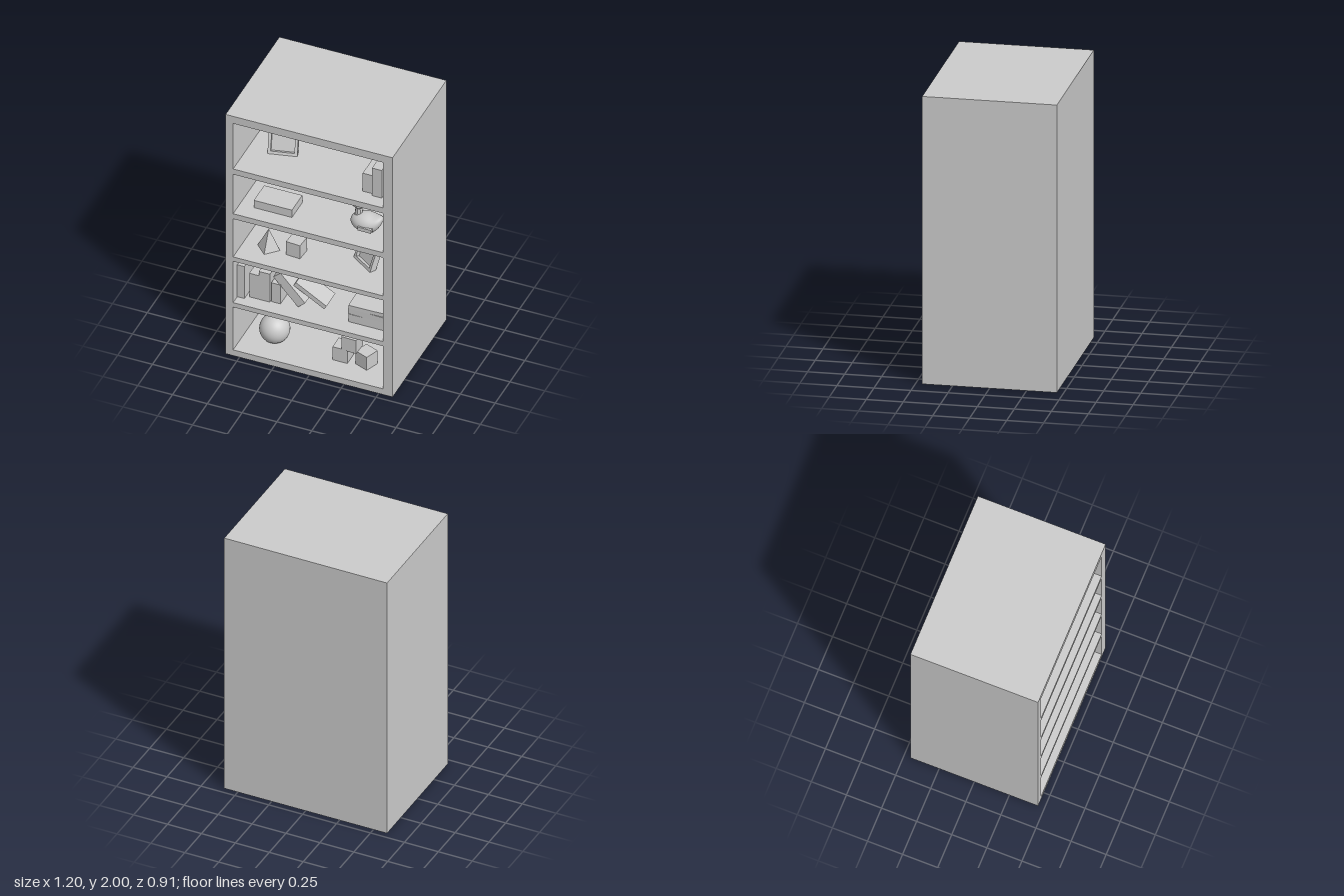
import * as THREE from 'three';

const smooth = new THREE.MeshStandardMaterial({ color: 0xcccccc });
const faceted = new THREE.MeshStandardMaterial({ color: 0xcccccc, flatShading: true });

const FRONT = 0.455, INNER_BACK = -0.05, LEFT = -0.546, RIGHT = 0.53;
// Floor and ceiling height of each compartment, bottom to top
const bays = [[0.048, 0.405], [0.443, 0.788], [0.825, 1.143], [1.186, 1.515], [1.56, 1.94]];
const floor = bays.map((b) => b[0]);

function add(parent, name, geometry, x, y, z, material = smooth) {
  const mesh = new THREE.Mesh(geometry, material);
  mesh.name = name;
  mesh.position.set(x, y, z);
  parent.add(mesh);
  return mesh;
}

// Box given by its x and y extents, its front z and its depth
function block(parent, name, x0, x1, y0, y1, front, depth, yaw = 0) {
  const geo = new THREE.BoxGeometry(x1 - x0, y1 - y0, depth);
  const mesh = add(parent, name, geo, (x0 + x1) / 2, (y0 + y1) / 2, front - depth / 2);
  mesh.rotation.y = yaw;
  return mesh;
}

// Rectangle outline, for shapes and holes
function rect(Type, x0, y0, x1, y1) {
  const p = new Type();
  p.moveTo(x0, y0);
  p.lineTo(x1, y0);
  p.lineTo(x1, y1);
  p.lineTo(x0, y1);
  p.closePath();
  return p;
}

function cabinet() {
  const g = new THREE.Group();
  g.name = 'cabinet';
  const face = rect(THREE.Shape, -0.6, 0, 0.6, 2);
  for (const [y0, y1] of bays) face.holes.push(rect(THREE.Path, LEFT, y0, RIGHT, y1));
  const shelves = new THREE.ExtrudeGeometry(face, { depth: FRONT - INNER_BACK, bevelEnabled: false });
  add(g, 'shelves', shelves, 0, 0, INNER_BACK);
  block(g, 'solidBack', -0.6, 0.6, 0, 2, INNER_BACK, FRONT + INNER_BACK);
  return g;
}

// Square picture frame, turned by yaw and leaning back about its lower edge
function pictureFrame(x, y, z, yaw) {
  const g = new THREE.Group();
  g.name = 'pictureFrame';
  const w = 0.1, h = 0.205, rim = 0.02, t = 0.045;
  const outline = rect(THREE.Shape, -w, 0, w, h);
  outline.holes.push(rect(THREE.Path, -w + rim, rim, w - rim, h - rim));
  add(g, 'frameRim', new THREE.ExtrudeGeometry(outline, { depth: t, bevelEnabled: false }), 0, 0, -t);
  add(g, 'picture', new THREE.BoxGeometry(2 * w - rim, h - rim, 0.015), 0, h / 2, -t + 0.012);
  g.position.set(x, y, z);
  g.rotation.set(-0.33, yaw, 0, 'YXZ');
  return g;
}

function toyDuck() {
  const g = new THREE.Group();
  g.name = 'toyDuck';
  // Body: ellipsoid whose rear end lifts into a tail
  const body = new THREE.SphereGeometry(1, 32, 20).scale(0.113, 0.07, 0.08);
  const p = body.attributes.position;
  for (let i = 0; i < p.count; i++) {
    const k = Math.max(0, p.getX(i) / 0.113 - 0.3);
    p.setY(i, p.getY(i) + 0.09 * k * k);
  }
  body.computeVertexNormals();
  add(g, 'body', body, 0, 0, 0);
  add(g, 'neck', new THREE.CylinderGeometry(0.02, 0.03, 0.08, 8), -0.058, 0.085, 0, faceted);
  const head = new THREE.SphereGeometry(1, 8, 6).scale(0.05, 0.062, 0.05);
  add(g, 'head', head, -0.058, 0.157, 0, faceted);
  // Bill: flat wedge widening toward the head in height and toward the tip in width
  const bill = new THREE.BoxGeometry(0.08, 0.035, 0.05);
  const b = bill.attributes.position;
  for (let i = 0; i < b.count; i++) {
    if (b.getX(i) < 0) b.setXYZ(i, b.getX(i), b.getY(i) * 0.5, b.getZ(i) * 1.4);
  }
  add(g, 'bill', bill, -0.131, 0.153, 0, faceted);
  for (const s of [1, -1]) {
    add(g, 'wing', new THREE.BoxGeometry(0.095, 0.028, 0.03), 0.018, -0.007, s * 0.075);
  }
  g.position.set(0.333, 1.25, 0.26);
  return g;
}

export function createModel() {
  const model = new THREE.Group();
  model.name = 'bookcase';
  model.add(cabinet());

  // Bottom compartment: ball and three toy blocks
  add(model, 'ball', new THREE.SphereGeometry(0.103, 32, 24), -0.34, 0.137, 0.235);
  block(model, 'toyBlock', 0.1, 0.207, floor[0], 0.156, 0.295, 0.107);
  block(model, 'toyBlock', 0.272, 0.376, floor[0], 0.156, 0.298, 0.104, -0.37);
  block(model, 'toyBlock', 0.169, 0.276, 0.156, 0.265, 0.303, 0.107, -0.04);

  // Second compartment: standing books [x0, x1, top, front]
  const standing = [
    [-0.546, -0.494, 0.71, 0.385], [-0.472, -0.403, 0.64, 0.355],
    [-0.403, -0.324, 0.676, 0.355], [-0.318, -0.252, 0.6, 0.345],
  ];
  for (const [x0, x1, top, front] of standing) block(model, 'standingBook', x0, x1, floor[1], top, front, 0.16);
  // Leaning books [length, thickness, x, y, z, roll]
  const leaning = [[0.266, 0.069, -0.192, 0.573, 0.265, -0.84], [0.257, 0.034, -0.053, 0.549, 0.24, -0.54]];
  for (const [l, t, x, y, z, roll] of leaning) {
    add(model, 'leaningBook', new THREE.BoxGeometry(l, t, 0.15), x, y, z).rotation.z = roll;
  }
  // Stacked books [y0, y1, yaw]
  for (const [y0, y1, yaw] of [[floor[1], 0.507, 0], [0.507, 0.552, -0.03], [0.552, 0.581, 0.02]]) {
    block(model, 'stackedBook', 0.235, 0.503, y0, y1, 0.345, 0.18, yaw);
  }

  // Third compartment: pyramid, block and picture frame
  add(model, 'pyramid', new THREE.ConeGeometry(0.08, 0.16, 4), -0.368, floor[2] + 0.08, 0.27, faceted);
  block(model, 'toyBlock', -0.231, -0.127, floor[2], 0.934, 0.298, 0.104, -0.07);
  model.add(pictureFrame(0.27, floor[2], 0.2, -0.6));

  // Fourth compartment: flat book and duck
  block(model, 'flatBook', -0.446, -0.172, floor[3], 1.247, 0.34, 0.175);
  model.add(toyDuck());

  // Top compartment: picture frame and two books
  model.add(pictureFrame(-0.305, floor[4], 0.19, 0.23));
  block(model, 'standingBook', 0.336, 0.411, floor[4], 1.71, 0.34, 0.16);
  block(model, 'standingBook', 0.412, 0.482, floor[4], 1.79, 0.36, 0.16);
  return model;
}
